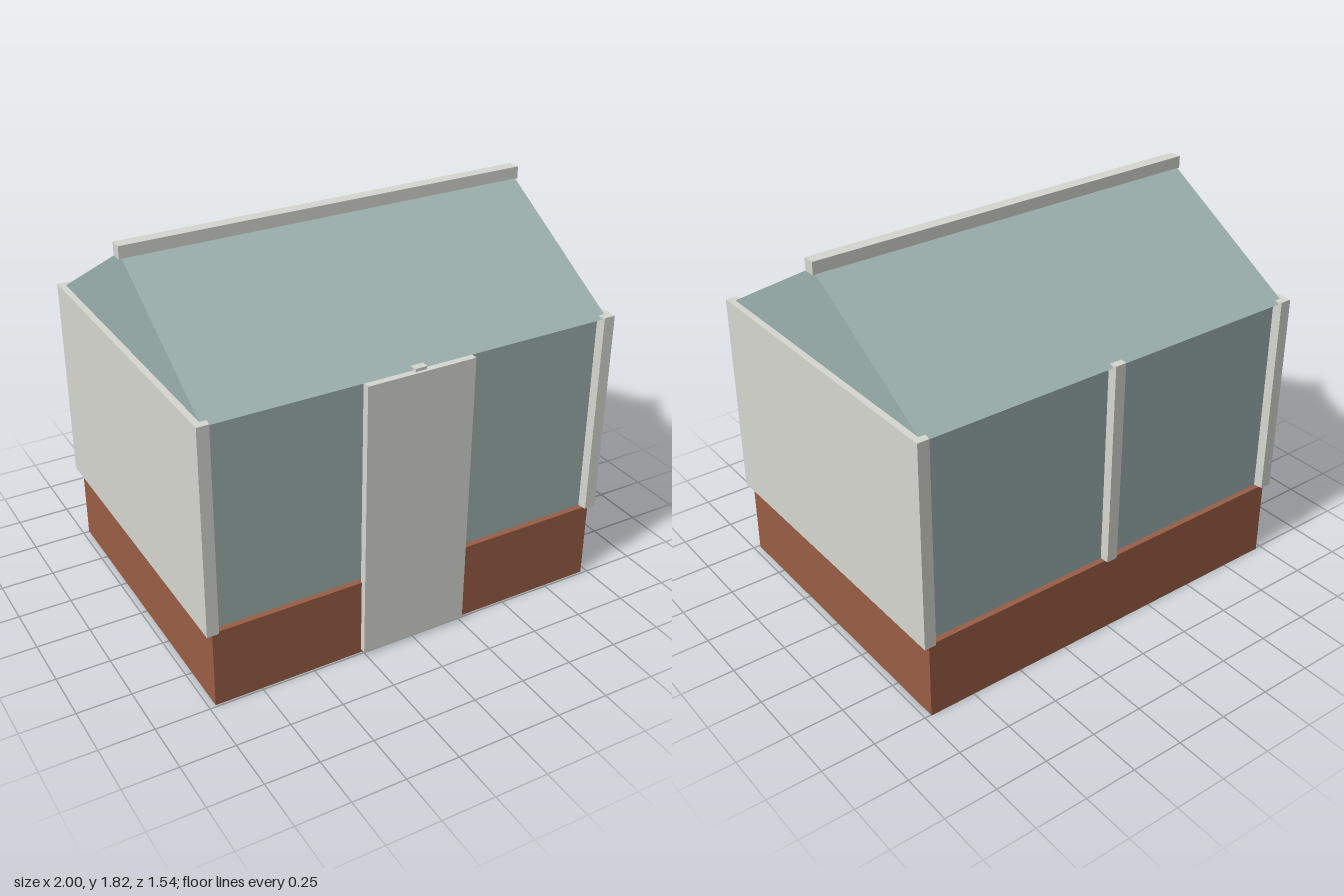
import * as THREE from 'three';

export function createModel() {
  const model = new THREE.Group();
  model.name = 'greenhouse';

  const mat = (name, color) => {
    const m = new THREE.MeshStandardMaterial({ color });
    m.name = name;
    return m;
  };
  const brick = mat('brick', 0x9a5e46);
  const glass = mat('glass', 0x9db2af);
  const frame = mat('painted frame', 0xd8d8d2);

  // Body sits slightly back because the door projects at the front
  const body = new THREE.Group();
  body.name = 'body';
  body.position.z = -0.007;
  model.add(body);

  const add = (name, geometry, material) => {
    const mesh = new THREE.Mesh(geometry, material);
    mesh.name = name;
    body.add(mesh);
    return mesh;
  };
  // Box given by its lower and upper corners
  const box = (name, material, [x0, y0, z0], [x1, y1, z1]) => {
    const g = new THREE.BoxGeometry(x1 - x0, y1 - y0, z1 - z0);
    g.translate((x0 + x1) / 2, (y0 + y1) / 2, (z0 + z1) / 2);
    return add(name, g, material);
  };

  const sill = 0.377, eave = 1.349, postTop = 1.361, apex = 1.785;
  const halfX = 0.97, halfZ = 0.747, postZ = 0.7615;

  // Brick plinth and glazed walls
  box('brickBase', brick, [-halfX, 0, -halfZ], [halfX, sill, halfZ]);
  box('glassWalls', glass, [-0.95, sill, -0.72], [0.95, eave, 0.72]);

  // Gabled glass roof
  const gable = new THREE.Shape([
    new THREE.Vector2(-halfZ, eave),
    new THREE.Vector2(halfZ, eave),
    new THREE.Vector2(0, apex),
  ]);
  const roof = new THREE.ExtrudeGeometry(gable, { depth: 2 * halfX, bevelEnabled: false });
  roof.translate(0, 0, -halfX).rotateY(Math.PI / 2);
  add('roof', roof, glass);
  box('ridgeBeam', frame, [-0.982, 1.766, -0.029], [0.982, 1.824, 0.029]);

  // Solid end panels
  for (const s of [-1, 1]) {
    const x = s * 0.97;
    box('endPanel', frame, [x - 0.03, sill, -0.73], [x + 0.03, postTop, 0.73]);
  }

  // Tapered posts: inner x range, then outer x range
  const posts = [
    ['cornerPost', -1, -0.935, -1, -0.945],
    ['middlePost', -0.032, 0.032, -0.027, 0.027],
    ['cornerPost', 0.935, 1, 0.945, 1],
  ];
  for (const [name, a0, a1, b0, b1] of posts) {
    const section = new THREE.Shape([
      new THREE.Vector2(b0, -postZ),
      new THREE.Vector2(b1, -postZ),
      new THREE.Vector2(a1, -0.7),
      new THREE.Vector2(a0, -0.7),
    ]);
    const g = new THREE.ExtrudeGeometry(section, { depth: postTop - sill, bevelEnabled: false });
    g.rotateX(-Math.PI / 2).translate(0, sill, 0);
    for (const turn of [0, Math.PI]) add(name, g, frame).rotation.y = turn;
  }

  // Door
  box('door', frame, [-0.26, 0.017, 0.74], [0.26, 1.347, 0.7755]);

  return model;
}
